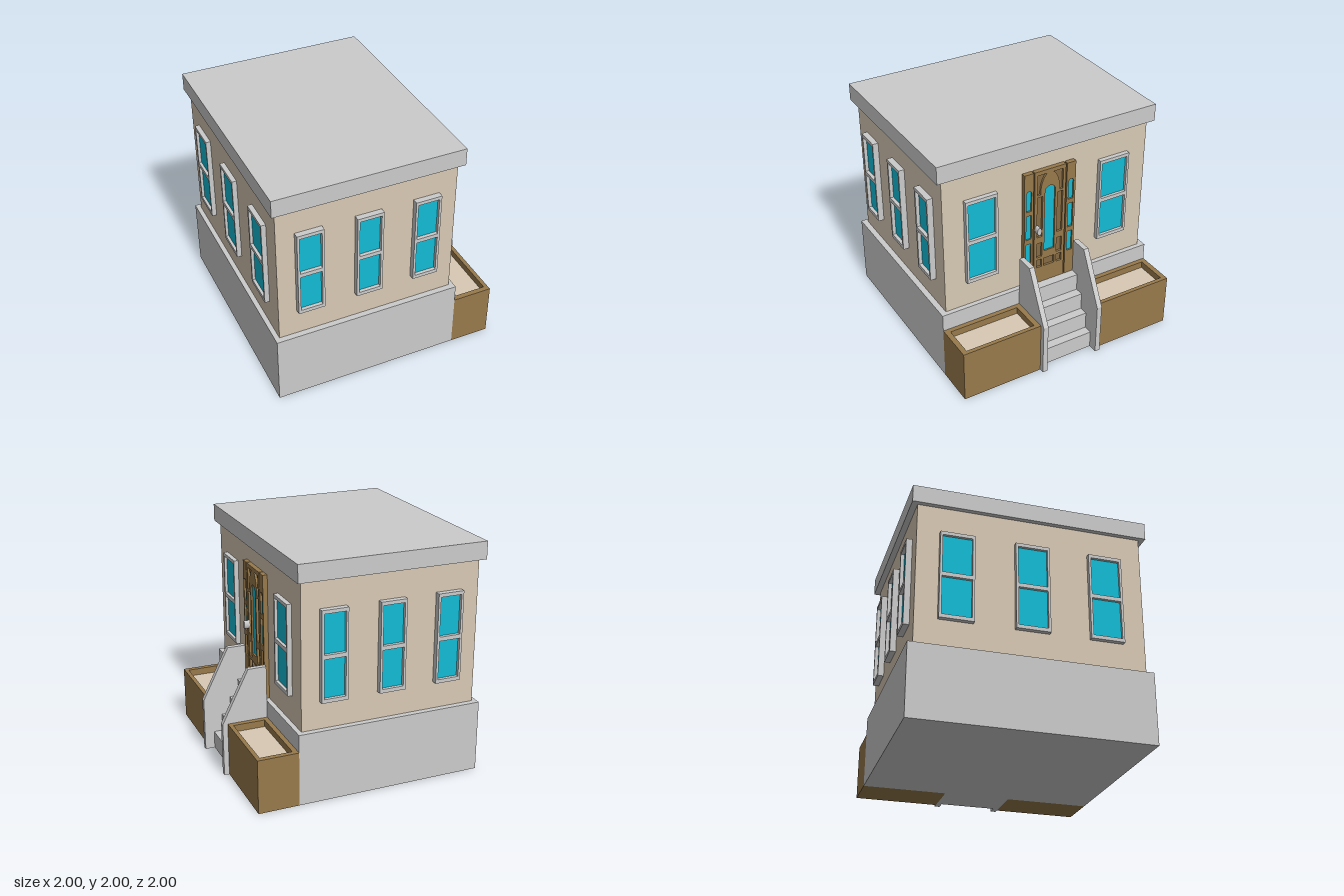
import * as THREE from 'three';

const mat = (color) => new THREE.MeshStandardMaterial({ color, flatShading: true });
const grey = mat(0xcccccc), tan = mat(0xd8c9b4), brown = mat(0x987a4c);
const darkBrown = mat(0x866b43), teal = mat(0x12bbd5);

function add(parent, name, geometry, material) {
  const mesh = new THREE.Mesh(geometry, material);
  mesh.name = name;
  parent.add(mesh);
  return mesh;
}

// Box given by its lower and upper corners
function box(parent, name, [x0, y0, z0], [x1, y1, z1], material) {
  const mesh = add(parent, name, new THREE.BoxGeometry(x1 - x0, y1 - y0, z1 - z0), material);
  mesh.position.set((x0 + x1) / 2, (y0 + y1) / 2, (z0 + z1) / 2);
  return mesh;
}

const polygon = (points) => new THREE.Shape(points.map(([x, y]) => new THREE.Vector2(x, y)));
const rect = (x0, y0, x1, y1) => polygon([[x0, y0], [x1, y0], [x1, y1], [x0, y1]]);

// Upright pane with a rounded top
function arched(x0, y0, x1, y1) {
  const r = (x1 - x0) / 2;
  const shape = new THREE.Shape();
  shape.moveTo(x0, y0);
  shape.lineTo(x1, y0);
  shape.lineTo(x1, y1 - r);
  shape.absarc(x0 + r, y1 - r, r, 0, Math.PI);
  shape.closePath();
  return shape;
}

function slab(outline, holes, depth) {
  outline.holes.push(...holes);
  return new THREE.ExtrudeGeometry(outline, { depth, bevelEnabled: false, curveSegments: 10 });
}

// Sash window: frame with two recessed panes, facing +z
function makeWindow(width, depth) {
  const group = new THREE.Group();
  group.name = 'window';
  const w = width / 2, g = w - 0.02;
  const panes = [rect(-g, 0.882, g, 1.215), rect(-g, 1.25, g, 1.585)];
  add(group, 'windowFrame', slab(rect(-w, 0.85, w, 1.615), panes, depth), grey);
  for (const pane of panes) {
    add(group, 'windowGlass', new THREE.ShapeGeometry(pane), teal).position.z = depth * 0.4;
  }
  return group;
}

// Corner panel beside the arch at the top of the door
function cornerPanel(side) {
  const shape = new THREE.Shape();
  shape.moveTo(side * 0.12, 1.475);
  shape.lineTo(side * 0.12, 1.66);
  shape.lineTo(side * 0.03, 1.66);
  shape.quadraticCurveTo(side * 0.09, 1.61, side * 0.09, 1.475);
  shape.closePath();
  return shape;
}

// Door with sidelights, facing +z
function makeDoor() {
  const door = new THREE.Group();
  door.name = 'door';
  const bottom = 0.615, top = 1.695, depth = 0.04;

  function leaf(name, x0, x1, panes, panels) {
    add(door, name, slab(rect(x0, bottom, x1, top), [...panes, ...panels], depth), brown);
    box(door, name + 'Back', [x0 + 0.005, bottom + 0.01, 0], [x1 - 0.005, top - 0.01, 0.022], darkBrown);
    for (const pane of panes) {
      add(door, name + 'Glass', new THREE.ShapeGeometry(pane, 10), teal).position.z = 0.026;
    }
  }

  const panels = [rect(-0.05, 0.77, 0.05, 0.845)];
  for (const s of [-1, 1]) {
    for (const [y0, y1] of [[0.77, 0.845], [0.87, 1.01], [1.07, 1.455]]) {
      panels.push(rect(s * 0.07, y0, s * 0.12, y1));
    }
    panels.push(cornerPanel(s));
  }
  leaf('doorPanel', -0.145, 0.145, [arched(-0.048, 0.92, 0.048, 1.54)], panels);

  for (const c of [-0.198, 0.198]) {
    const a = c - 0.024, b = c + 0.024;
    leaf('sidelight', c - 0.042, c + 0.042,
      [rect(a, 0.845, b, 1.035), rect(a, 1.08, b, 1.31), arched(a, 1.35, b, 1.54)], []);
  }

  // Oval knob
  const knob = add(door, 'doorKnob', new THREE.CylinderGeometry(0.036, 0.036, 0.05, 20), grey);
  knob.rotation.x = Math.PI / 2;
  knob.scale.x = 0.56;
  knob.position.set(-0.122, 1.157, 0.06);
  return door;
}

export function createModel() {
  const model = new THREE.Group();
  model.name = 'house';

  // Main block
  box(model, 'foundation', [-1, 0, -1], [0.61, 0.615, 1], grey);
  box(model, 'walls', [-0.96, 0.615, -0.95], [0.57, 1.85, 0.95], tan);
  box(model, 'roof', [-1, 1.85, -1], [0.61, 2, 1], grey);

  const place = (part, x, z, turn) => {
    part.position.set(x, 0, z);
    part.rotation.y = turn;
    model.add(part);
  };

  // Windows on all four walls
  for (const x of [-0.695, -0.195, 0.305]) {
    place(makeWindow(0.225, 0.05), x, 0.95, 0);
    place(makeWindow(0.225, 0.05), x, -0.95, Math.PI);
  }
  for (const z of [-0.622, 0, 0.622]) {
    place(makeWindow(0.285, 0.04), -0.96, z, -Math.PI / 2);
    if (z !== 0) place(makeWindow(0.285, 0.04), 0.57, z, Math.PI / 2);
  }
  place(makeDoor(), 0.57, 0, Math.PI / 2);

  // Steps, one solid staircase profile
  const profile = [[0.61, 0]];
  for (let i = 0; i < 4; i++) {
    const x = 0.917 - i * 0.077;
    profile.push([x, i * 0.154], [x, (i + 1) * 0.154]);
  }
  profile.push([0.61, 0.616]);
  add(model, 'steps', slab(polygon(profile), [], 0.48), grey).position.z = -0.24;

  for (const s of [-1, 1]) {
    // Sloping side wall of the steps
    const cheek = polygon([[0.61, 0], [1, 0], [1, 0.465], [0.768, 0.923], [0.61, 0.923]]);
    add(model, 'stepSideWall', slab(cheek, [], 0.045), grey).position.z = s > 0 ? 0.24 : -0.285;

    // Planter: open rim over a solid base, filled with soil
    const planter = new THREE.Group();
    planter.name = 'planter';
    planter.position.z = s * 0.6425;
    model.add(planter);
    const h = 0.3575;
    const rim = add(planter, 'planterBox',
      slab(rect(0.61, -h, 0.957, h), [rect(0.65, -h + 0.045, 0.922, h - 0.045)], 0.465), brown);
    rim.rotation.x = -Math.PI / 2;
    box(planter, 'planterFloor', [0.65, 0, -h + 0.045], [0.922, 0.05, h - 0.045], brown);
    box(planter, 'soil', [0.65, 0.05, -h + 0.045], [0.922, 0.405, h - 0.045], tan);
  }
  return model;
}
